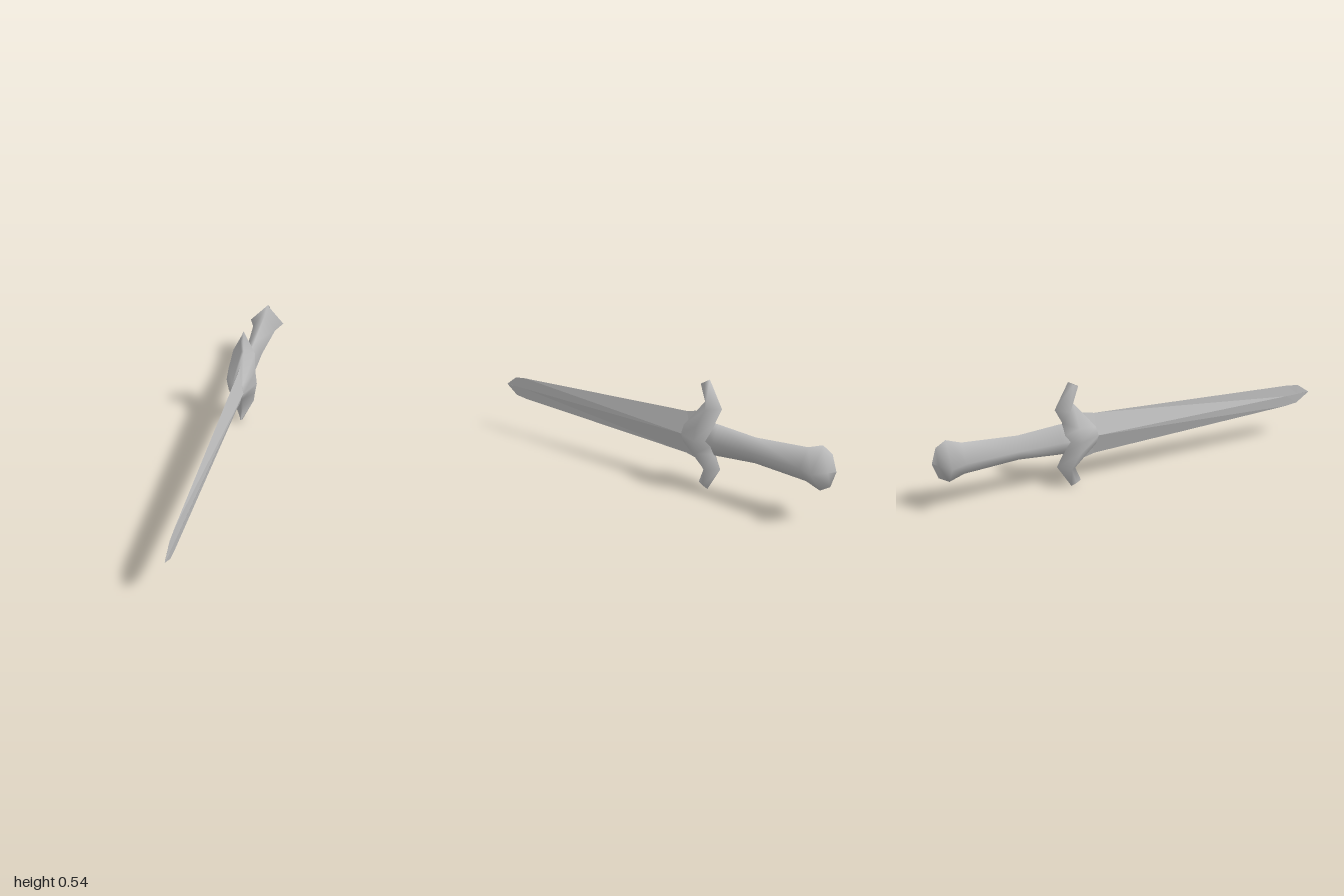
import * as THREE from 'three';

const steel = new THREE.MeshStandardMaterial({ color: 0xbcbcbc });
steel.name = 'steel grey';
const MID = 0.26; // height of the long axis

// Skin a list of closed rings and close both ends
function loft(rings, smooth) {
  const n = rings[0].length, index = [];
  for (let i = 0; i < rings.length - 1; i++) {
    for (let j = 0; j < n; j++) {
      const a = i * n + j, b = i * n + (j + 1) % n;
      index.push(a, a + n, b, b, a + n, b + n);
    }
  }
  const last = (rings.length - 1) * n;
  for (let j = 1; j < n - 1; j++) {
    index.push(0, j, j + 1, last, last + j + 1, last + j);
  }
  let g = new THREE.BufferGeometry();
  g.setAttribute('position', new THREE.Float32BufferAttribute(rings.flat(2), 3));
  g.setIndex(index);
  if (!smooth) g = g.toNonIndexed();
  g.computeVertexNormals();
  return g;
}

// Diamond section: [z, half width, half height]
const diamond = ([z, w, h]) => [[w, MID, z], [0, MID + h, z], [-w, MID, z], [0, MID - h, z]];

function part(name, geometry) {
  const mesh = new THREE.Mesh(geometry, steel);
  mesh.name = name;
  return mesh;
}

export function createModel() {
  const group = new THREE.Group();
  group.name = 'dagger';

  // Blade with a central ridge, flaring where it meets the guard
  group.add(part('blade', loft([
    [1, 0.0005, 0.001], [0.93, 0.003, 0.05], [0.86, 0.005, 0.058],
    [-0.22, 0.034, 0.105], [-0.27, 0.035, 0.117], [-0.32, 0.035, 0.117],
  ].map(diamond), false)));

  // Grip swelling into a pointed pommel
  group.add(part('gripAndPommel', loft([
    [-0.3, 0.05, 0.08], [-0.4, 0.045, 0.078], [-0.6, 0.045, 0.062],
    [-0.86, 0.065, 0.079], [-0.93, 0.094, 0.105], [-0.977, 0.032, 0.076],
    [-1, 0.001, 0.002],
  ].map(diamond), true)));

  // Guard: half of the levels, outward from the centre
  // [front y, front z, front half width, side y, side z, side half width, back y, back z]
  const levels = [
    [0, -0.212, 0.035, 0, -0.315, 0.08, 0, -0.42],
    [0.045, -0.222, 0.028, 0.07, -0.32, 0.07, 0.082, -0.38],
    [0.175, -0.325, 0.006, 0.155, -0.36, 0.056, 0.155, -0.415],
    [0.255, -0.297, 0.003, 0.268, -0.32, 0.006, 0.283, -0.345],
  ];
  const ring = (l, s) => {
    const [fy, fz, fw, sy, sz, sw, by, bz] = l;
    const p = (x, y, z) => [x, MID + y * s, z];
    return [p(-fw, fy, fz), p(fw, fy, fz), p(sw, sy, sz), p(0, by, bz), p(-sw, sy, sz)];
  };
  const upper = levels.slice().reverse().map((l) => ring(l, 1));
  const lower = levels.slice(1).map((l) => ring(l, -0.918));
  group.add(part('guard', loft([...upper, ...lower], true)));

  return group;
}
